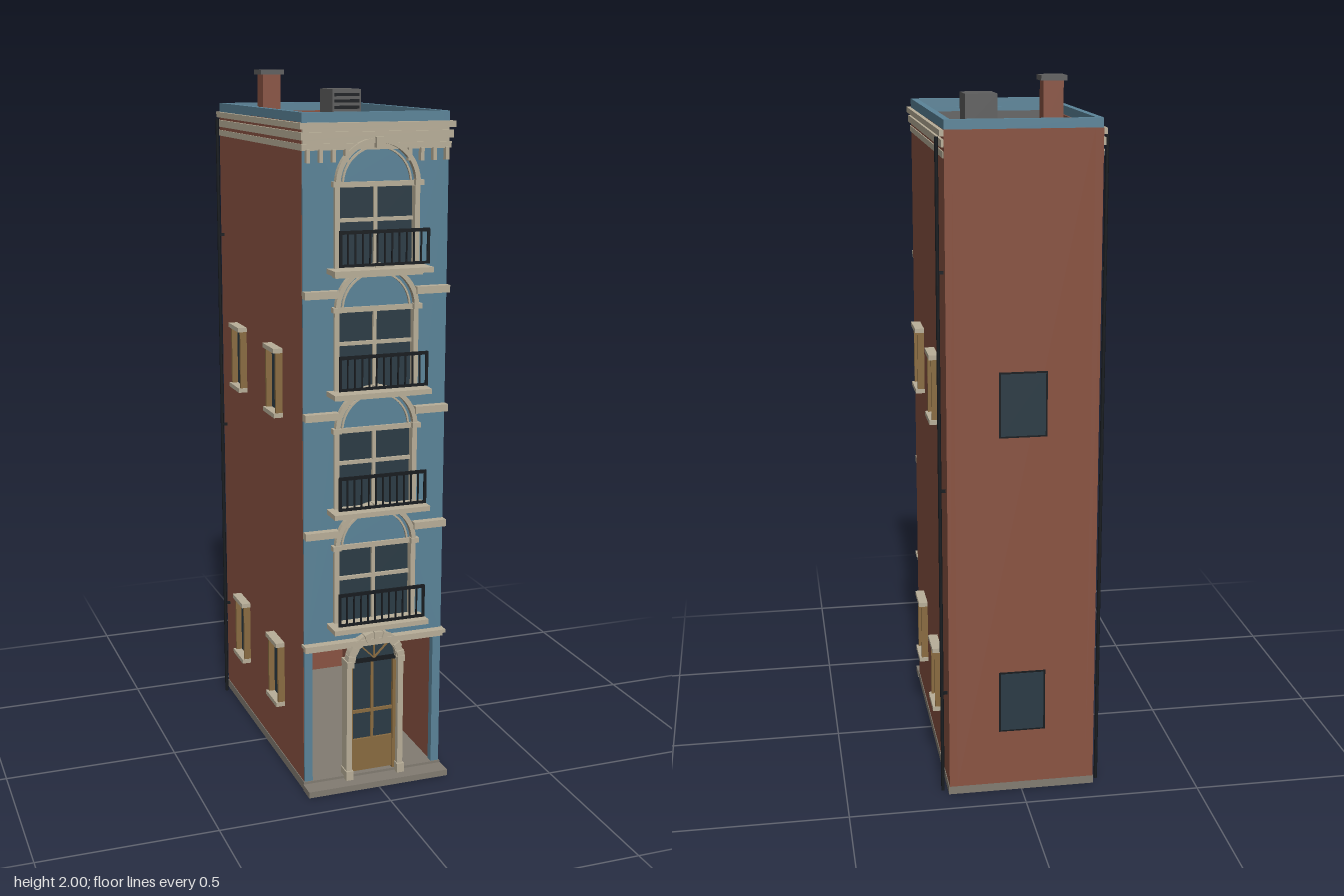
import * as THREE from 'three';

const flat = (name, color) => {
  const m = new THREE.MeshStandardMaterial({ color });
  m.name = name;
  return m;
};

export function createModel() {
  const teal = flat('teal paint', 0x5b8499);
  const brick = flat('brick', 0x8a5342);
  const stone = flat('cream stone', 0xb9af99);
  const grey = flat('grey plinth stone', 0x827c72);
  const roofing = flat('dark roofing', 0x5e5e5e);
  const wood = flat('brown wood', 0x8a6c41);
  const glass = flat('dark glass', 0x2b3b45);
  const iron = flat('black iron', 0x171b1f);

  const model = new THREE.Group();
  model.name = 'townhouse';

  const group = (name, parent = model) => {
    const g = new THREE.Group();
    g.name = name;
    parent.add(g);
    return g;
  };
  const add = (parent, name, geo, mat) => {
    const mesh = new THREE.Mesh(geo, mat);
    mesh.name = name;
    parent.add(mesh);
    return mesh;
  };
  // box given by its limits on each axis
  const box = (parent, name, mat, x0, x1, y0, y1, z0, z1) => {
    const geo = new THREE.BoxGeometry(x1 - x0, y1 - y0, z1 - z0);
    geo.translate((x0 + x1) / 2, (y0 + y1) / 2, (z0 + z1) / 2);
    return add(parent, name, geo, mat);
  };
  // half ring standing on height y
  const arch = (parent, name, mat, rOut, rIn, y, z0, z1) => {
    const s = new THREE.Shape();
    s.absarc(0, 0, rOut, 0, Math.PI, false);
    if (rIn > 0) s.absarc(0, 0, rIn, Math.PI, 0, true);
    s.closePath();
    const geo = new THREE.ExtrudeGeometry(s, { depth: z1 - z0, bevelEnabled: false, curveSegments: 16 });
    geo.translate(0, y, z0);
    return add(parent, name, geo, mat);
  };

  // hollow brick body on its plinth
  const body = group('body');
  box(body, 'plinth', grey, -0.21, 0.21, 0, 0.025, -0.422, 0.36);
  box(body, 'frontStep', grey, -0.212, 0.212, 0, 0.018, 0.36, 0.411);
  for (const s of [-1, 1]) {
    const a = s * 0.185, b = s * 0.208;
    box(body, 'sideWall', brick, Math.min(a, b), Math.max(a, b), 0.025, 1.875, -0.424, 0.352);
  }
  box(body, 'backWall', brick, -0.186, 0.186, 0.025, 1.875, -0.424, -0.4);
  box(body, 'roofDeck', roofing, -0.19, 0.19, 1.845, 1.862, -0.405, 0.337);

  // parapet around the roof
  const parapet = group('parapet');
  for (const [x0, x1] of [[-0.208, -0.19], [0.19, 0.208]])
    box(parapet, 'parapetSide', teal, x0, x1, 1.86, 1.9, -0.42, 0.357);
  box(parapet, 'parapetFront', teal, -0.19, 0.19, 1.86, 1.9, 0.337, 0.357);
  box(parapet, 'parapetBack', teal, -0.19, 0.19, 1.86, 1.9, -0.42, -0.403);

  // painted front wall with window openings
  const floors = [0.495, 0.828, 1.16, 1.492];
  const facade = group('facade');
  const wall = new THREE.Shape([[-0.207, 0.42], [0.207, 0.42], [0.207, 1.875], [-0.207, 1.875]]
    .map(p => new THREE.Vector2(...p)));
  for (const y of floors)
    wall.holes.push(new THREE.Path([[-0.11, y], [-0.11, y + 0.222], [0.11, y + 0.222], [0.11, y]]
      .map(p => new THREE.Vector2(...p))));
  const wallGeo = new THREE.ExtrudeGeometry(wall, { depth: 0.022, bevelEnabled: false });
  wallGeo.translate(0, 0, 0.335);
  add(facade, 'frontWall', wallGeo, teal);
  for (const s of [-1, 1])
    box(facade, 'groundPilaster', teal, s * 0.195 - 0.012, s * 0.195 + 0.012, 0.025, 0.42, 0.335, 0.357);
  box(facade, 'groundBand', stone, -0.208, 0.208, 0.42, 0.432, 0.35, 0.372);
  box(facade, 'groundBandTop', stone, -0.212, 0.212, 0.432, 0.442, 0.35, 0.382);
  for (const y of [0.762, 1.095, 1.427])
    for (const s of [-1, 1]) {
      const a = s * 0.112, b = s * 0.208;
      box(facade, 'floorBand', stone, Math.min(a, b), Math.max(a, b), y - 0.011, y + 0.009, 0.352, 0.38);
    }

  // arched front windows with balconies
  for (const y of floors) {
    const w = group('frontWindow');
    w.position.y = y;
    box(w, 'windowGlass', glass, -0.11, 0.11, 0, 0.222, 0.338, 0.345);
    box(w, 'centreMullion', stone, -0.005, 0.005, 0, 0.22, 0.345, 0.353);
    box(w, 'transom', stone, -0.108, 0.108, 0.122, 0.132, 0.345, 0.353);
    box(w, 'lintel', stone, -0.108, 0.108, 0.214, 0.228, 0.345, 0.364);
    for (const s of [-1, 1]) {
      box(w, 'jamb', stone, s * 0.114 - 0.007, s * 0.114 + 0.007, 0, 0.224, 0.34, 0.368);
      box(w, 'capital', stone, s * 0.116 - 0.012, s * 0.116 + 0.012, 0.216, 0.23, 0.352, 0.378);
    }
    arch(w, 'archMoulding', stone, 0.12, 0.107, 0.222, 0.35, 0.374);
    arch(w, 'archInnerMoulding', stone, 0.099, 0.094, 0.222, 0.354, 0.364);
    box(w, 'keystone', stone, -0.01, 0.01, 0.316, 0.344, 0.354, 0.384);
    box(w, 'balconySlab', stone, -0.14, 0.14, -0.012, 0.002, 0.35, 0.424);
    box(w, 'slabMoulding', stone, -0.125, 0.125, -0.022, -0.012, 0.352, 0.386);

    const rail = group('balconyRailing', w);
    box(rail, 'topRail', iron, -0.127, 0.127, 0.098, 0.107, 0.418, 0.424);
    box(rail, 'bottomRail', iron, -0.127, 0.127, 0.012, 0.019, 0.418, 0.424);
    for (let i = 0; i <= 12; i++) {
      const x = -0.124 + i * 0.248 / 12, h = i % 12 ? 0.002 : 0.004;
      box(rail, 'baluster', iron, x - h, x + h, 0.012, 0.105, 0.419, 0.423);
    }
  }

  // entrance door and its arched surround
  const door = group('entrance');
  box(door, 'doorGlass', glass, -0.066, 0.066, 0.125, 0.37, 0.335, 0.345);
  box(door, 'doorPanel', wood, -0.066, 0.066, 0.03, 0.128, 0.335, 0.352);
  box(door, 'doorMullion', wood, -0.004, 0.004, 0.128, 0.37, 0.345, 0.351);
  box(door, 'doorRail', wood, -0.066, 0.066, 0.208, 0.217, 0.345, 0.351);
  box(door, 'doorHead', iron, -0.068, 0.068, 0.366, 0.38, 0.335, 0.362);
  arch(door, 'fanlight', glass, 0.064, 0, 0.378, 0.345, 0.36);
  for (const a of [0.25, 0.5, 0.75]) {
    const bar = box(door, 'fanlightBar', wood, 0, 0.06, -0.002, 0.002, 0.36, 0.365);
    bar.position.y = 0.378;
    bar.rotation.z = a * Math.PI;
  }
  for (const s of [-1, 1]) {
    box(door, 'doorFrame', wood, s * 0.066 - 0.005, s * 0.066 + 0.005, 0.025, 0.37, 0.333, 0.357);
    box(door, 'doorColumn', stone, s * 0.078 - 0.008, s * 0.078 + 0.008, 0.018, 0.37, 0.335, 0.374);
    box(door, 'columnCapital', stone, s * 0.077 - 0.011, s * 0.077 + 0.011, 0.362, 0.38, 0.335, 0.382);
    box(door, 'columnBase', stone, s * 0.078 - 0.011, s * 0.078 + 0.011, 0.018, 0.045, 0.335, 0.38);
  }
  arch(door, 'doorArch', stone, 0.084, 0.062, 0.376, 0.35, 0.378);
  for (let i = 0; i < 9; i++) {
    const stoneBlock = box(door, 'archBlock', stone, 0.064, 0.086, -0.007, 0.007, 0.355, 0.384);
    stoneBlock.position.y = 0.376;
    stoneBlock.rotation.z = (i + 0.5) * Math.PI / 9;
  }

  // stepped cornice along the front and sides, with brackets
  const cornice = group('cornice');
  for (const [y0, y1, out] of [[1.803, 1.82, 0.003], [1.83, 1.85, 0.007], [1.858, 1.874, 0.011]]) {
    box(cornice, 'frontCornice', stone, -0.208 - out, 0.208 + out, y0, y1, 0.345, 0.362 + out * 1.3);
    for (const s of [-1, 1]) {
      const a = s * 0.2, b = s * (0.208 + out);
      box(cornice, 'sideCornice', stone, Math.min(a, b), Math.max(a, b), y0, y1, -0.42, 0.346);
    }
  }
  box(cornice, 'frieze', stone, -0.207, 0.207, 1.805, 1.86, 0.352, 0.36);
  for (let i = 0; i < 12; i++) {
    const x = -0.196 + i * 0.392 / 11;
    if (Math.abs(x) < 0.07) continue;
    box(cornice, 'bracket', stone, x - 0.005, x + 0.005, 1.772, 1.806, 0.355, 0.374);
  }

  // framed windows on both side walls
  for (const s of [-1, 1])
    for (const y of [0.187, 1.057])
      for (const z of [0.132, -0.213]) {
        const w = group('sideWindow');
        const part = (name, mat, depth, y0, y1, z0, z1) => {
          const a = s * 0.2, b = s * depth;
          box(w, name, mat, Math.min(a, b), Math.max(a, b), y + y0, y + y1, z + z0, z + z1);
        };
        part('sideGlass', glass, 0.211, 0.01, 0.185, -0.043, 0.043);
        part('sideSill', stone, 0.235, -0.002, 0.011, -0.051, 0.051);
        part('sideLintel', stone, 0.235, 0.182, 0.195, -0.051, 0.051);
        for (const e of [-1, 1])
          part('sideJamb', wood, 0.228, 0.011, 0.182, e * 0.044 - 0.005, e * 0.044 + 0.005);
      }

  // plain back windows
  for (const y of [0.187, 1.055]) {
    box(model, 'backWindowFrame', iron, -0.066, 0.066, y, y + 0.182, -0.4255, -0.423);
    box(model, 'backWindowGlass', glass, -0.061, 0.061, y + 0.005, y + 0.177, -0.427, -0.424);
  }

  // downpipes near the back corners
  for (const s of [-1, 1]) {
    const pipe = add(model, 'downpipe', new THREE.CylinderGeometry(0.005, 0.005, 1.855, 10), iron);
    pipe.position.set(s * 0.224, 0.9275, -0.393);
    for (const y of [0.3, 0.9, 1.5])
      box(model, 'pipeBracket', iron, s * 0.214 - 0.008, s * 0.214 + 0.008, y, y + 0.008, -0.396, -0.39);
  }

  // chimney and roof vent
  const chimney = group('chimney');
  box(chimney, 'chimneyStack', brick, -0.13, -0.076, 1.86, 1.988, -0.28, -0.226);
  box(chimney, 'chimneyCap', roofing, -0.138, -0.068, 1.986, 2, -0.288, -0.218);
  const vent = group('roofVent');
  box(vent, 'ventBox', roofing, 0.03, 0.118, 1.86, 1.947, -0.178, -0.071);
  for (let i = 0; i < 4; i++)
    box(vent, 'ventLouvre', iron, 0.036, 0.112, 1.873 + i * 0.018, 1.882 + i * 0.018, -0.073, -0.067);

  return model;
}
